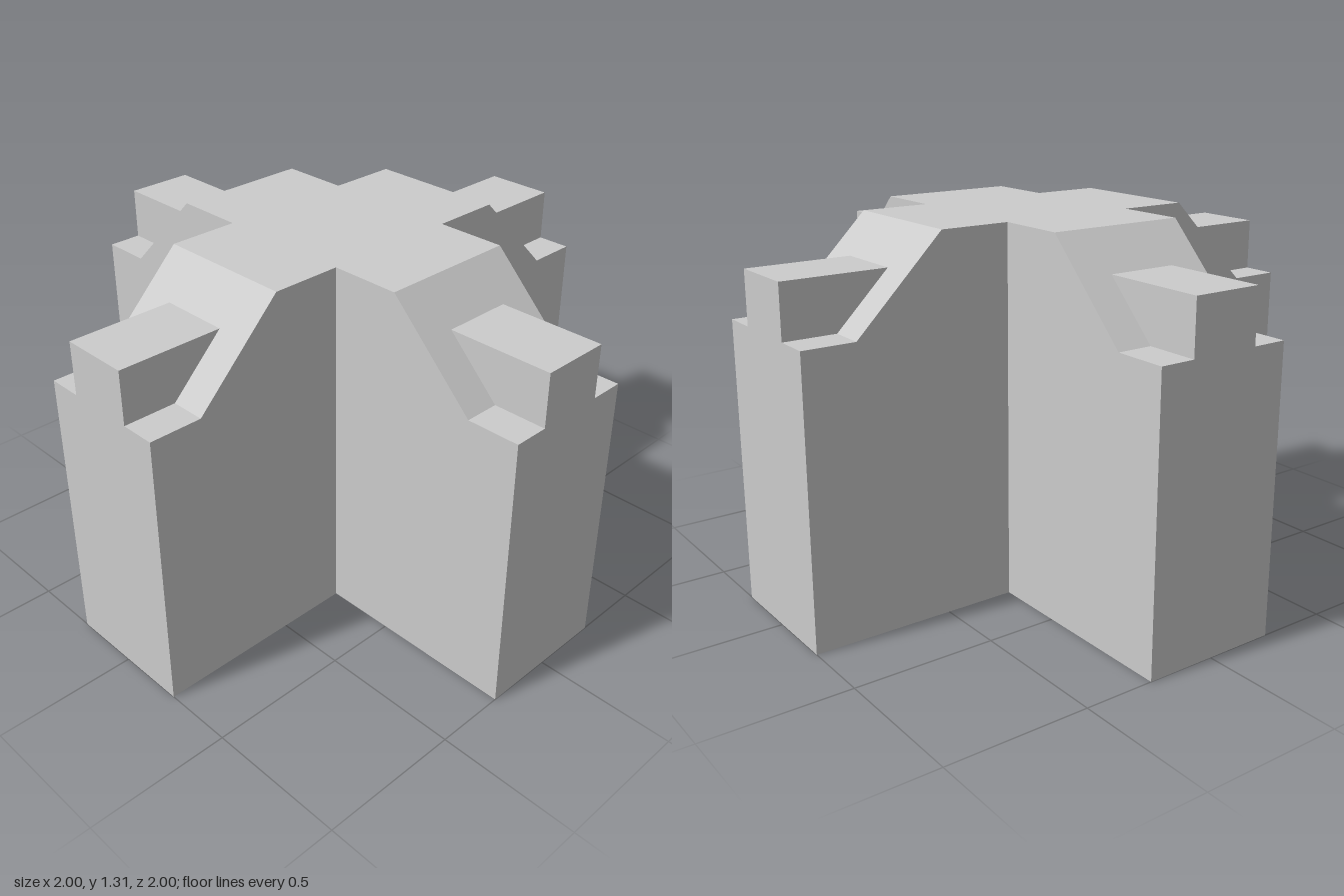
import * as THREE from 'three';

const HALF = 0.25;      // half width of an arm
const TOP = 1.3125;     // height of the flat roof
const LEDGE = 1.0;      // height of the ledge at each arm's end

const material = new THREE.MeshStandardMaterial({ color: 0xcccccc, flatShading: true });

// Extrude a side profile (outward distance, height) to a width centred on the arm
function slab(name, points, width) {
  const shape = new THREE.Shape(points.map(([x, y]) => new THREE.Vector2(x, y)));
  const geometry = new THREE.ExtrudeGeometry(shape, { depth: width, bevelEnabled: false });
  geometry.translate(0, 0, -width / 2);
  const mesh = new THREE.Mesh(geometry, material);
  mesh.name = name;
  return mesh;
}

export function createModel() {
  const model = new THREE.Group();
  model.name = 'crossBlock';

  // Square centre of the cross
  const core = new THREE.Mesh(new THREE.BoxGeometry(2 * HALF, TOP, 2 * HALF), material);
  core.name = 'core';
  core.position.y = TOP / 2;
  model.add(core);

  // Four equal arms, each with a sloped shoulder, a ledge and a raised tab
  ['leftArm', 'backArm', 'rightArm', 'frontArm'].forEach((name, i) => {
    const arm = new THREE.Group();
    arm.name = name;
    arm.add(
      slab('armBody', [[HALF, 0], [1, 0], [1, LEDGE], [0.8125, LEDGE], [0.5, TOP], [HALF, TOP]], 2 * HALF),
      slab('tab', [[0.8125, LEDGE], [1, LEDGE], [1, 1.1875], [0.625, 1.1875]], 0.25)
    );
    arm.rotation.y = i * Math.PI / 2;
    model.add(arm);
  });

  return model;
}
